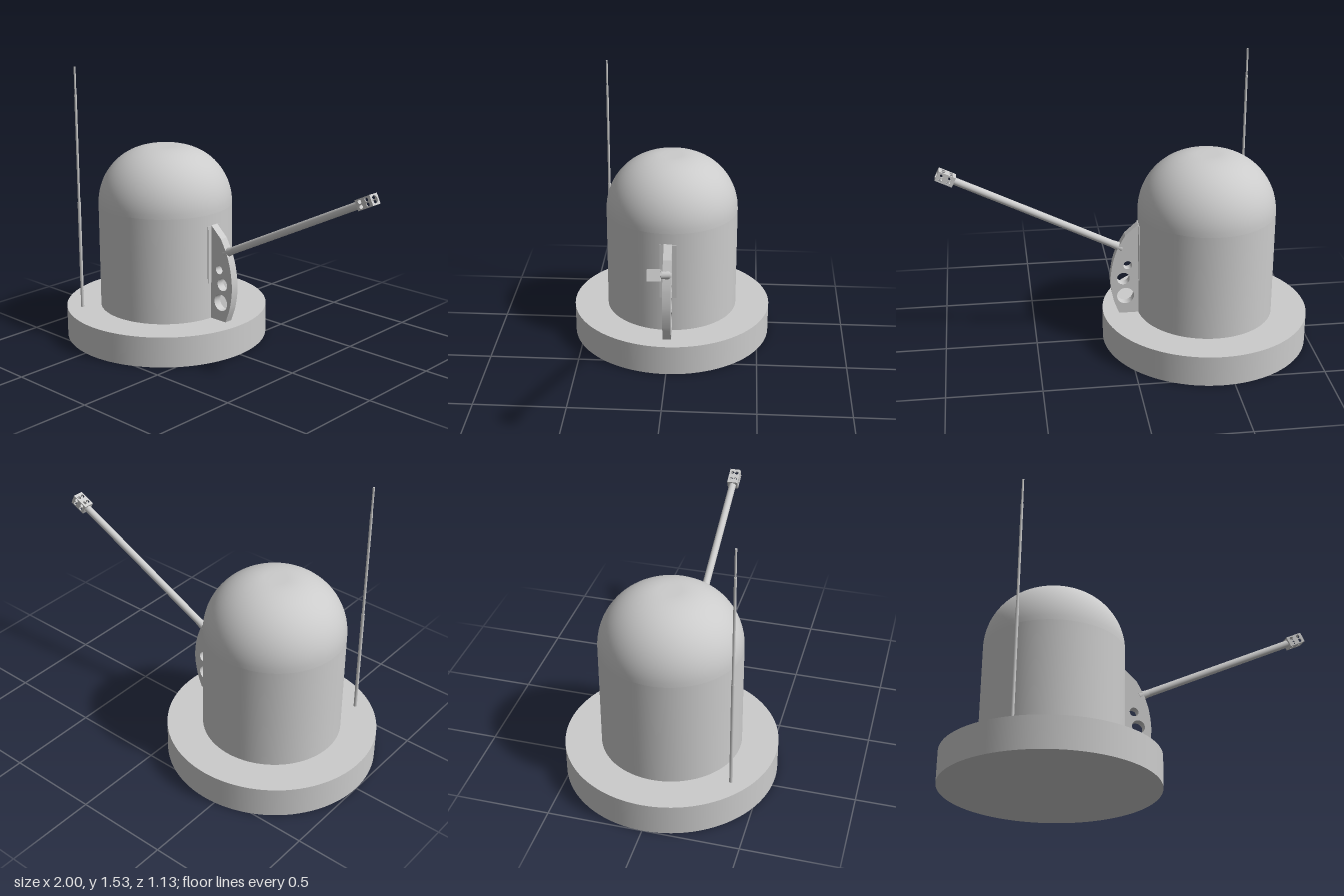
import * as THREE from 'three';

const mat = new THREE.MeshStandardMaterial({ color: 0xcccccc, side: THREE.DoubleSide });
const CX = -0.435; // axis of base and dome

function add(parent, name, geo, x = 0, y = 0, z = 0) {
  const m = new THREE.Mesh(geo, mat);
  m.name = name;
  m.position.set(x, y, z);
  parent.add(m);
  return m;
}

// Extrude a shape with round holes [x, y, r], centred in depth
function plate(shape, holes, depth) {
  for (const [x, y, r] of holes) {
    shape.holes.push(new THREE.Path().absarc(x, y, r, 0, Math.PI * 2, true));
  }
  const g = new THREE.ExtrudeGeometry(shape, { depth, bevelEnabled: false, curveSegments: 24 });
  return g.translate(0, 0, -depth / 2);
}

function rect(w, h) {
  return new THREE.Shape([[-1, -1], [1, -1], [1, 1], [-1, 1]]
    .map(([a, b]) => new THREE.Vector2(a * w / 2, b * h / 2)));
}

// Perforated box at the end of the arm, long axis along x
function makeHead() {
  const head = new THREE.Group();
  head.name = 'armHead';
  const L = 0.096, H = 0.056, W = 0.06, t = 0.006;
  const four = [];
  for (const a of [-0.022, 0.022]) for (const b of [-0.0125, 0.0125]) four.push([a, b, 0.0105]);
  for (const s of [-1, 1]) {
    add(head, 'headSide', plate(rect(L, H), four, t), 0, 0, s * (W - t) / 2);
    add(head, 'headCover', plate(rect(L, W - 2 * t), four, t), 0, s * (H - t) / 2, 0).rotation.x = Math.PI / 2;
    const endHole = s > 0 ? [[0, 0, 0.02]] : [];
    add(head, 'headEnd', plate(rect(W - 2 * t, H - 2 * t), endHole, t), s * (L - t) / 2, 0, 0).rotation.y = Math.PI / 2;
  }
  return head;
}

export function createModel() {
  const model = new THREE.Group();
  model.name = 'domedTower';

  add(model, 'base', new THREE.CylinderGeometry(0.565, 0.565, 0.17, 96), CX, 0.085, 0);

  // Cylindrical body with a broad rounded crown
  add(model, 'body', new THREE.CylinderGeometry(0.372, 0.372, 0.59, 96, 1, true), CX, 0.465, 0);
  const crown = [];
  for (let i = 0; i <= 20; i++) {
    const a = i / 20 * Math.PI / 2;
    crown.push(new THREE.Vector2(0.06 + 0.312 * Math.cos(a), 0.76 + 0.318 * Math.sin(a)));
  }
  crown.push(new THREE.Vector2(0, 1.078));
  add(model, 'dome', new THREE.LatheGeometry(crown, 96), CX, 0, 0);

  // Curved bracket with lightening holes
  const fin = new THREE.Shape();
  fin.moveTo(-0.09, 0.17);
  fin.lineTo(0.043, 0.17);
  fin.splineThru([[0.075, 0.26], [0.09, 0.37], [0.077, 0.48], [0.05, 0.565]]
    .map(p => new THREE.Vector2(...p)));
  fin.lineTo(0.01, 0.637);
  fin.lineTo(-0.06, 0.7);
  fin.lineTo(-0.09, 0.7);
  const holes = [[-0.004, 0.46, 0.024], [0.02, 0.38, 0.035], [0.008, 0.275, 0.047]];
  add(model, 'bracket', plate(fin, holes, 0.046), 0, 0, 0);
  add(model, 'bracketPad', new THREE.BoxGeometry(0.03, 0.32, 0.094), -0.076, 0.535, 0);

  // Sloping arm, slightly flared where it meets the bracket
  const arm = new THREE.Group();
  arm.name = 'arm';
  arm.position.set(0.035, 0.562, 0);
  arm.rotation.z = 0.462;
  const len = 0.97;
  add(arm, 'armTube', new THREE.CylinderGeometry(0.02, 0.02, len, 32), len / 2, 0, 0).rotation.z = -Math.PI / 2;
  add(arm, 'armRoot', new THREE.CylinderGeometry(0.02, 0.026, 0.06, 32), 0.02, 0, 0).rotation.z = -Math.PI / 2;
  const head = makeHead();
  head.position.x = 1.016;
  arm.add(head);
  model.add(arm);

  // Whip aerial stepping down in thickness
  const aerial = new THREE.Group();
  aerial.name = 'aerial';
  for (const [y0, y1, r] of [[0.17, 0.78, 0.009], [0.78, 1.38, 0.007], [1.38, 1.53, 0.0055]]) {
    add(aerial, 'aerialSection', new THREE.CylinderGeometry(r, r, y1 - y0, 12), -0.717, (y0 + y1) / 2, 0.388);
  }
  model.add(aerial);

  return model;
}
